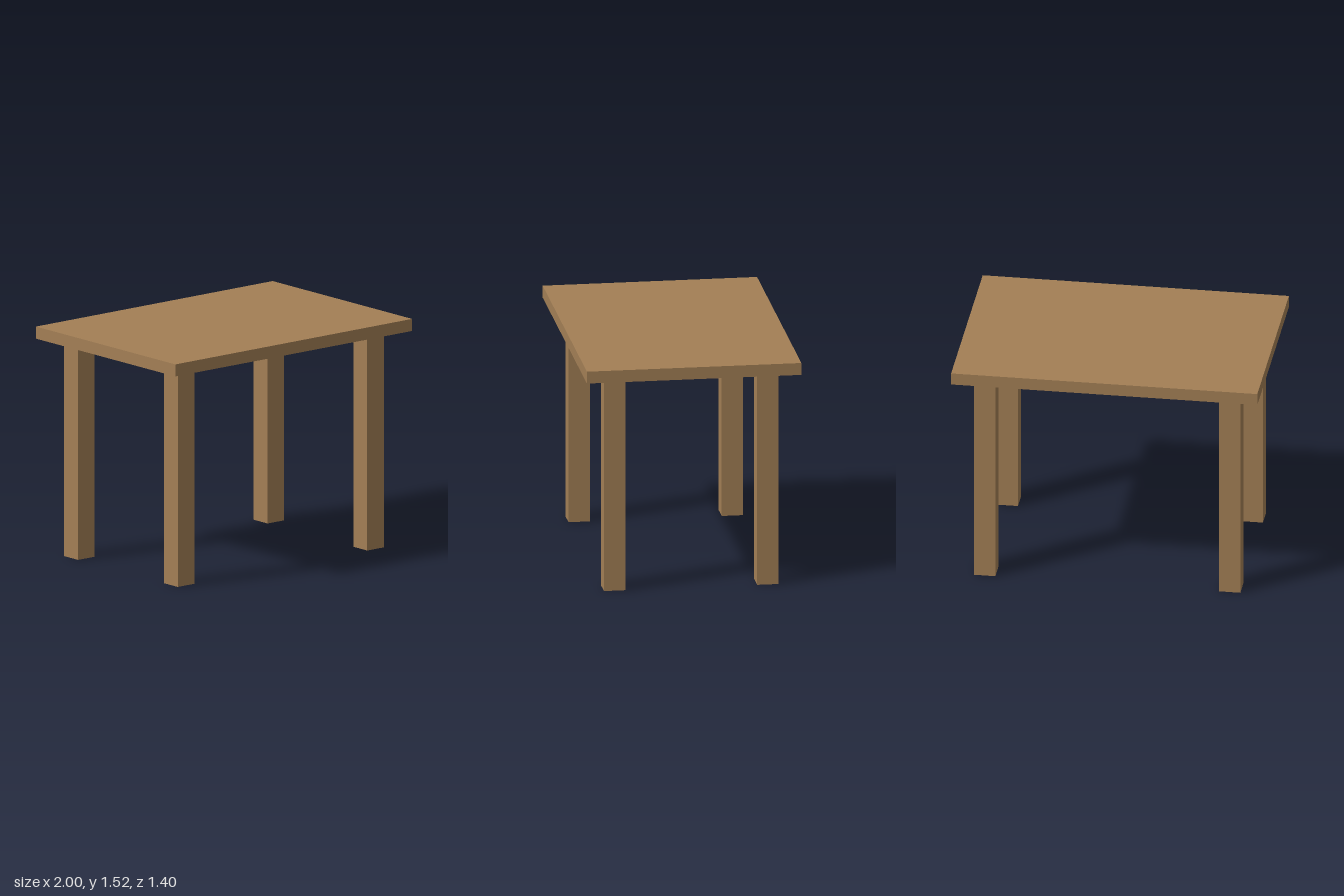
import * as THREE from 'three';

export function createModel() {
  const group = new THREE.Group();
  group.name = 'table';
  const wood = new THREE.MeshStandardMaterial({ color: 0xa37f55 });

  const addBox = (name, size, position) => {
    const mesh = new THREE.Mesh(new THREE.BoxGeometry(...size), wood);
    mesh.name = name;
    mesh.position.set(...position);
    group.add(mesh);
  };

  // Flat slab top
  const legHeight = 1.44;
  const topThickness = 0.08;
  addBox('tableTop', [2, topThickness, 1.4], [0, legHeight + topThickness / 2, 0]);

  // Four square legs, inset from the corners
  for (const [xName, x] of [['Left', 0.8], ['Right', -0.8]]) {
    for (const [zName, z] of [['front', 0.5], ['back', -0.5]]) {
      addBox(`${zName}${xName}Leg`, [0.14, legHeight, 0.14], [x, legHeight / 2, z]);
    }
  }

  return group;
}
